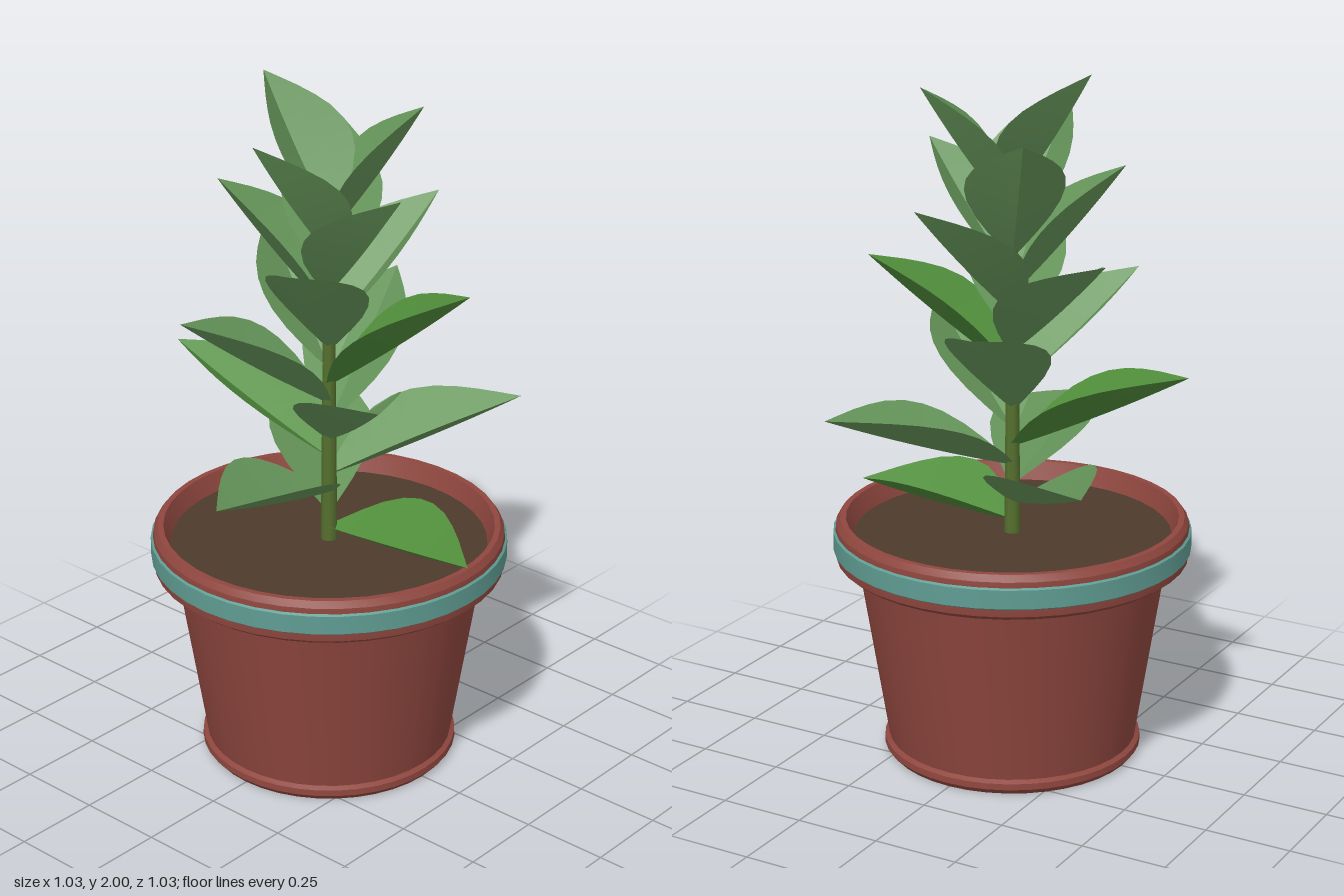
import * as THREE from 'three';
import { toCreasedNormals } from 'three/addons/utils/BufferGeometryUtils.js';

function mat(name, color, side = THREE.FrontSide) {
  const m = new THREE.MeshStandardMaterial({ color, side });
  m.name = name;
  return m;
}

// Leaf outline: [position along the midrib, half-width], both 0..1
const OUTLINE = [[0, 0.08], [0.06, 0.28], [0.13, 0.5], [0.22, 0.74], [0.33, 0.93], [0.43, 1],
  [0.53, 0.98], [0.64, 0.86], [0.74, 0.67], [0.83, 0.46], [0.92, 0.22], [1, 0]];
const ACROSS = [-1, -0.5, 0, 0.5, 1];

// V-folded leaf running out along +x from the stem, creased at the midrib
function leafGeometry(reach, rise, halfWidth) {
  const pitch = Math.atan2(rise, reach);
  const depth = 0.62 * halfWidth;
  const n = ACROSS.length;
  const pos = [], idx = [];
  OUTLINE.forEach(([t, w], i) => {
    const sag = 0.008 * 4 * t * (1 - t);
    ACROSS.forEach((s, j) => {
      const lift = depth * w * Math.abs(s) - sag;
      pos.push(reach * t - Math.sin(pitch) * lift, rise * t + Math.cos(pitch) * lift, halfWidth * w * s);
      if (i < OUTLINE.length - 1 && j < n - 1) {
        const a = i * n + j;
        idx.push(a, a + 1, a + n);
        if (i < OUTLINE.length - 2) idx.push(a + 1, a + n + 1, a + n);
      }
    });
  });
  const g = new THREE.BufferGeometry();
  g.setAttribute('position', new THREE.Float32BufferAttribute(pos, 3));
  g.setIndex(idx);
  return toCreasedNormals(g, 0.6);
}

export function createModel() {
  const root = new THREE.Group();
  root.name = 'pottedPlant';
  const clay = mat('terracotta', 0x8e463e);
  const teal = mat('tealGlaze', 0x5f9c92);
  const earth = mat('soil', 0x4d3a2c);
  const bark = mat('stemGreen', 0x55702e);
  const leafSoft = mat('leafGreen', 0x66965a, THREE.DoubleSide);
  const leafRich = mat('leafDeepGreen', 0x4f8c3a, THREE.DoubleSide);

  const add = (name, geometry, material, parent = root) => {
    const m = new THREE.Mesh(geometry, material);
    m.name = name;
    parent.add(m);
    return m;
  };
  const lathe = (pts) => toCreasedNormals(
    new THREE.LatheGeometry(pts.map(([r, y]) => new THREE.Vector2(r, y)), 40), 0.45);

  // Pot with foot ring, tapered wall and overhanging rim
  add('pot', lathe([[0, 0], [0.362, 0], [0.375, 0.016], [0.374, 0.034], [0.361, 0.042], [0.445, 0.578],
    [0.488, 0.578], [0.506, 0.592], [0.508, 0.61], [0.508, 0.675], [0.506, 0.692], [0.494, 0.71],
    [0.477, 0.71], [0.452, 0.64]]), clay);

  // Glazed band around the rim
  add('rimBand', lathe([[0.506, 0.612], [0.514, 0.618], [0.514, 0.672], [0.506, 0.678]]), teal);

  // Soil surface
  const soil = add('soil', new THREE.CircleGeometry(0.458, 40), earth);
  soil.rotation.x = -Math.PI / 2;
  soil.position.y = 0.655;

  // Upright stem
  const stem = add('stem', new THREE.CylinderGeometry(0.014, 0.024, 1.01, 8), bark);
  stem.position.y = 1.155;

  // Spiral of leaves, each [horizontal reach, tip height], lowest first
  const tips = [[0.51, 0.73], [0.587, 0.945], [0.512, 0.94], [0.561, 1.055], [0.516, 1.165], [0.474, 1.245],
    [0.446, 1.345], [0.434, 1.38], [0.411, 1.457], [0.403, 1.515], [0.365, 1.59], [0.359, 1.65],
    [0.313, 1.725], [0.316, 1.765], [0.294, 1.835], [0.268, 1.89], [0.255, 1.95], [0.25, 2]];
  const leaves = new THREE.Group();
  leaves.name = 'leaves';
  root.add(leaves);
  tips.forEach(([reach, tipY], i) => {
    const baseY = 0.69 + 0.0555 * i;
    const leaf = add('leaf' + (i + 1), leafGeometry(reach, tipY - baseY, 0.152 - 0.0009 * i),
      i % 4 === 0 && i < 9 ? leafRich : leafSoft, leaves);
    leaf.position.y = baseY;
    leaf.rotation.y = THREE.MathUtils.degToRad(137.5 * i);
  });
  return root;
}
